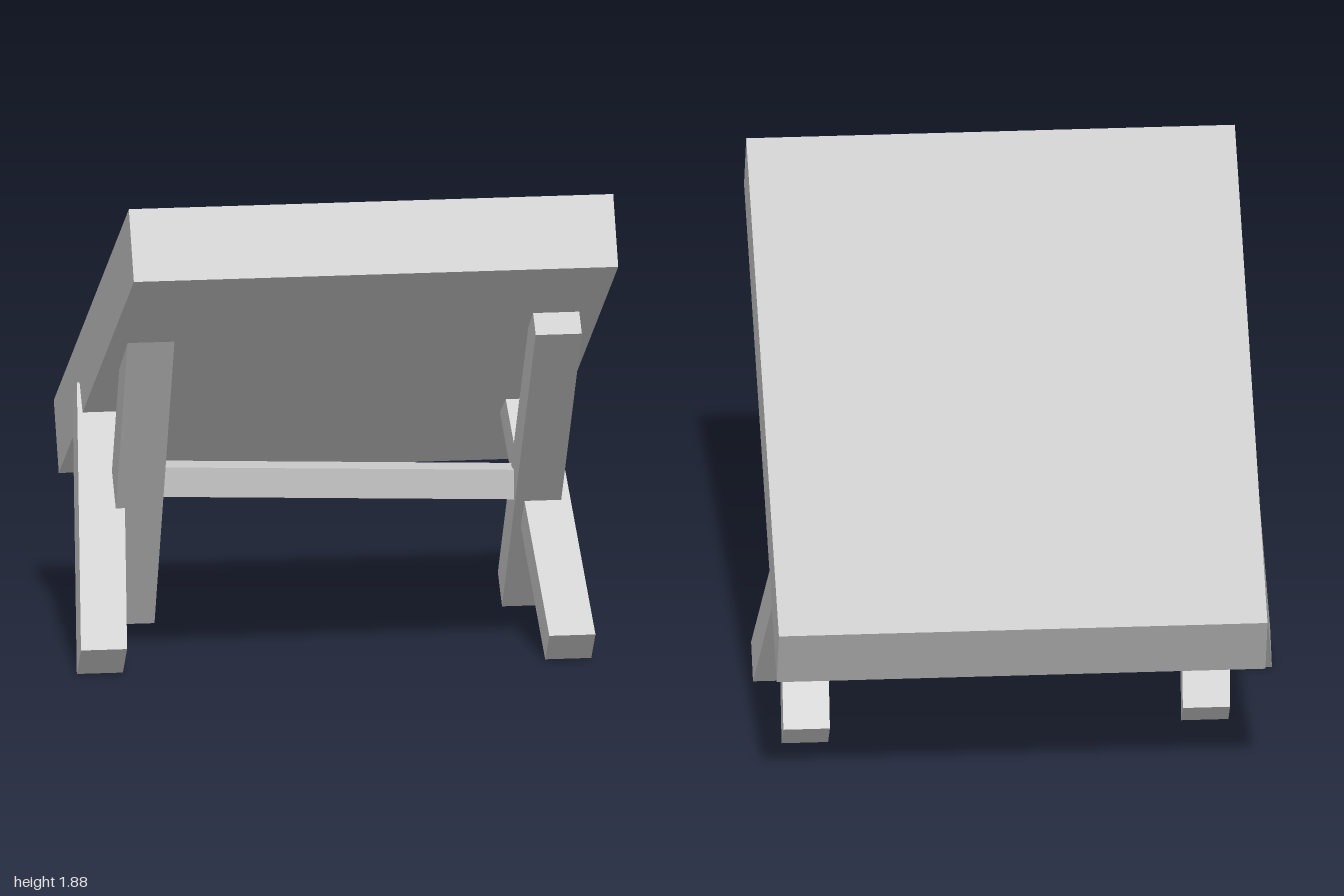
import * as THREE from 'three';

const grey = new THREE.MeshStandardMaterial({ color: 0xc8c8c8 });
grey.name = 'plain grey';

// Straight beam. Each end is { x, f, b }: centre x, then [z, y] of its
// front and back edges. Ends may differ in x, so the beam can splay.
function beam(name, width, low, high) {
  const geo = new THREE.BoxGeometry(width, 1, 1);
  const pos = geo.attributes.position;
  for (let i = 0; i < pos.count; i++) {
    const end = pos.getY(i) > 0 ? high : low;
    const [z, y] = pos.getZ(i) > 0 ? end.f : end.b;
    pos.setXYZ(i, pos.getX(i) + end.x, y, z);
  }
  geo.computeVertexNormals();
  const mesh = new THREE.Mesh(geo, grey);
  mesh.name = name;
  return mesh;
}

export function createModel() {
  const group = new THREE.Group();
  group.name = 'tiltedTable';

  // Thick sloping top, from its low back end to its high front end
  group.add(beam('tableTop', 1.785,
    { x: 0.0375, f: [-0.875, 0.515], b: [-1.0, 0.76] },
    { x: 0.0375, f: [1.0, 1.63], b: [0.875, 1.875] }));

  // Outer legs, feet at the front, mirrored and leaning inwards
  for (const side of [-1, 1]) {
    group.add(beam(side > 0 ? 'leftOuterLeg' : 'rightOuterLeg', 0.17,
      { x: side * 0.863, f: [0.31, 0.11], b: [0.205, 0] },
      { x: side * 0.78, f: [-0.355, 0.965], b: [-0.46, 0.86] }));
  }

  // Crossing inner legs, feet at the back; each has its own slope
  group.add(beam('leftInnerLeg', 0.17,
    { x: 0.8, f: [-0.445, 0.06], b: [-0.55, 0.165] },
    { x: 0.765, f: [0.635, 1.305], b: [0.53, 1.41] }));
  group.add(beam('rightInnerLeg', 0.173,
    { x: -0.667, f: [-0.345, 0.06], b: [-0.45, 0.16] },
    { x: -0.705, f: [0.45, 1.36], b: [0.345, 1.46] }));

  // Slightly sagging crossbar between the inner legs
  const bar = new THREE.Mesh(new THREE.BoxGeometry(1.48, 0.11, 0.12), grey);
  bar.name = 'crossbar';
  bar.position.set(0.045, 0.625, -0.11);
  bar.rotation.z = -0.0385;
  group.add(bar);

  return group;
}
